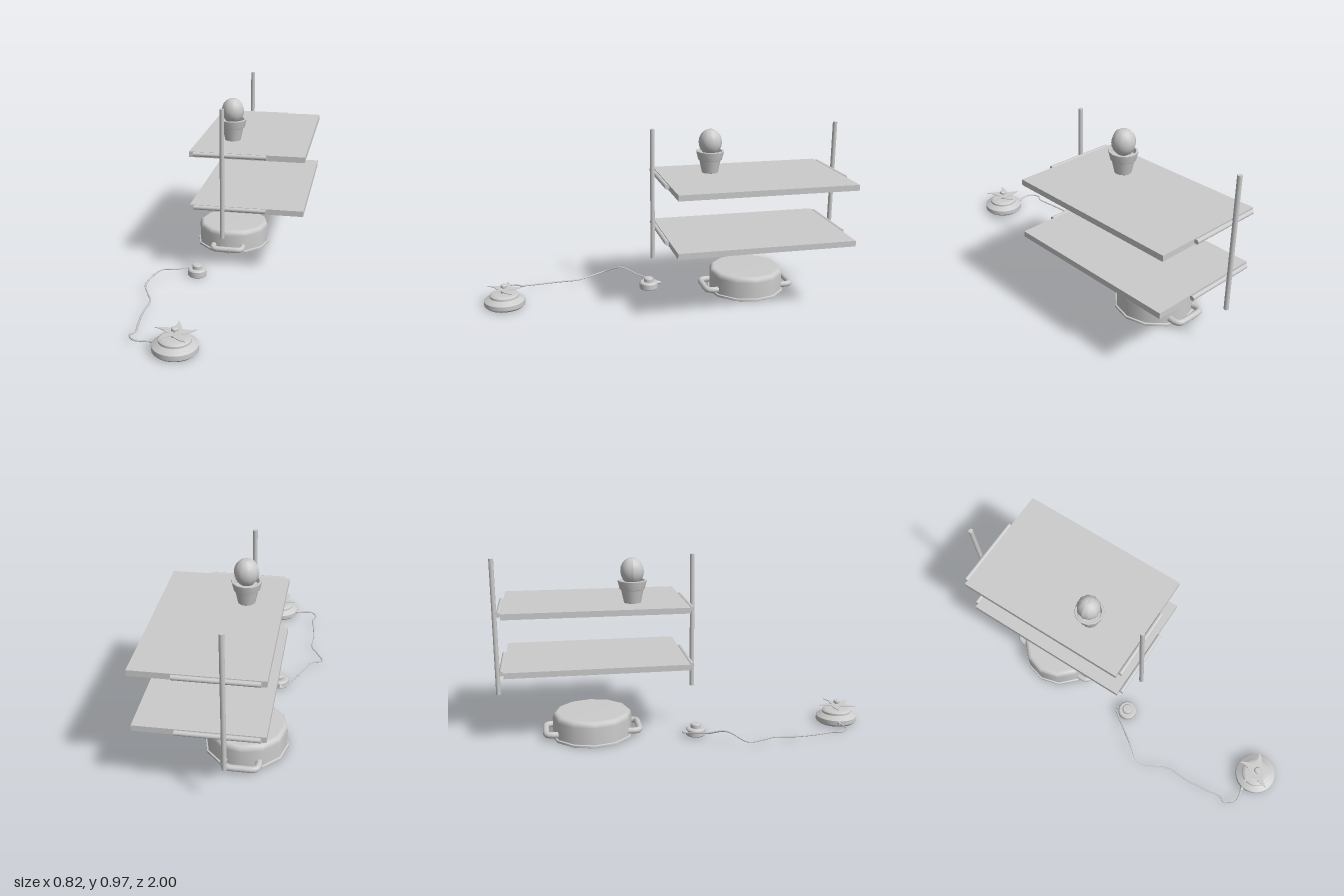
import * as THREE from 'three';

const material = new THREE.MeshStandardMaterial({ color: 0xcccccc });
const thin = new THREE.MeshStandardMaterial({ color: 0xcccccc, side: THREE.DoubleSide });

function add(parent, name, geometry, x = 0, y = 0, z = 0, mat = material) {
  const mesh = new THREE.Mesh(geometry, mat);
  mesh.name = name;
  mesh.position.set(x, y, z);
  parent.add(mesh);
  return mesh;
}

function group(parent, name, x, y, z) {
  const g = new THREE.Group();
  g.name = name;
  g.position.set(x, y, z);
  parent.add(g);
  return g;
}

// Turned shape from [radius, height] pairs, with a hard edge at every sharp corner
function turned(points, sides, crease = 0.6) {
  const pts = points.map(([r, y]) => new THREE.Vector2(r, y));
  const out = [];
  pts.forEach((p, i) => {
    out.push(p);
    if (i === 0 || i === pts.length - 1) return;
    const a = p.clone().sub(pts[i - 1]).angle();
    const b = pts[i + 1].clone().sub(p).angle();
    const turn = Math.abs(Math.atan2(Math.sin(b - a), Math.cos(b - a)));
    // a tiny step keeps the two sides' normals apart
    if (turn > crease) {
      const d1 = pts[i - 1].clone().sub(p).setLength(0.0008);
      const d2 = pts[i + 1].clone().sub(p).setLength(0.0008);
      out.pop();
      out.push(p.clone().add(d1), p.clone().add(d2));
    }
  });
  return new THREE.LatheGeometry(out, sides);
}

function tube(points, radius, steps, sides = 8, tension = 0.5) {
  const curve = new THREE.CatmullRomCurve3(points.map(p => new THREE.Vector3(...p)), false, 'catmullrom', tension);
  return new THREE.TubeGeometry(curve, steps, radius, sides);
}

function buildShelving(root) {
  const shelving = group(root, 'shelving', 0, 0, -0.463);
  for (const y of [0.395, 0.701]) {
    add(shelving, 'shelfBoard', new THREE.BoxGeometry(0.63, 0.031, 0.967), 0.095, y, 0);
    for (const s of [-1, 1]) {
      const rod = add(shelving, 'shelfRod', new THREE.CylinderGeometry(0.0125, 0.0125, 0.4, 12), 0.005, y + 0.005, s * 0.495);
      rod.rotation.z = Math.PI / 2;
    }
  }
  for (const s of [-1, 1]) {
    add(shelving, 'uprightPole', new THREE.CylinderGeometry(0.0125, 0.0125, 0.73, 12), -0.03, 0.604, s * 0.5245);
  }
}

function buildPlant(root) {
  const plant = group(root, 'pottedCactus', -0.03, 0.717, -0.262);
  add(plant, 'flowerPot', turned([
    [0, 0], [0.045, 0], [0.06, 0.068], [0.062, 0.073], [0.067, 0.073],
    [0.078, 0.117], [0.076, 0.121], [0.066, 0.121], [0.06, 0.095], [0, 0.095],
  ], 12, 0.8), 0, 0, 0, thin);
  // Shallow ribs and a dimple at the crown
  const body = new THREE.SphereGeometry(1, 20, 10);
  const p = body.attributes.position;
  for (let i = 0; i < p.count; i++) {
    const x = p.getX(i), y = p.getY(i), z = p.getZ(i);
    const rib = 0.97 + 0.03 * Math.cos(Math.atan2(z, x) * 10);
    const dimple = Math.hypot(x, z) < 0.1 && y > 0 ? 0.9 : 1;
    p.setXYZ(i, x * rib * 0.064, y * dimple * 0.073, z * rib * 0.064);
  }
  body.computeVertexNormals();
  add(plant, 'cactus', body, 0, 0.168, 0);
}

function buildPan(root) {
  const pan = group(root, 'pan', -0.065, 0, -0.495);
  // a quarter turn of the twelve sides puts corners on both axes
  add(pan, 'panBody', turned([
    [0, 0], [0.222, 0], [0.222, 0.012], [0.213, 0.014], [0.213, 0.106],
    [0.209, 0.122], [0.2, 0.132], [0.186, 0.136], [0, 0.136],
  ], 12));
  for (const s of [-1, 1]) {
    add(pan, 'panHandle', tube([
      [-0.088, 0.037, s * 0.18], [-0.088, 0.037, s * 0.222], [-0.07, 0.037, s * 0.248],
      [0, 0.037, s * 0.251],
      [0.07, 0.037, s * 0.248], [0.088, 0.037, s * 0.222], [0.088, 0.037, s * 0.18],
    ], 0.017, 28, 10));
  }
}

// Flat swept blade, pointing along +x
function bladeGeometry() {
  const s = new THREE.Shape();
  s.moveTo(0.008, -0.026);
  s.quadraticCurveTo(0.06, -0.03, 0.108, 0.008);
  s.quadraticCurveTo(0.06, 0.002, 0.03, 0.026);
  s.lineTo(0.008, 0.02);
  s.closePath();
  const g = new THREE.ExtrudeGeometry(s, { depth: 0.003, bevelEnabled: false, curveSegments: 5 });
  return g.rotateX(-Math.PI / 2);
}

function buildRotor(root) {
  const rotor = group(root, 'bladedRotor', -0.093, 0, 0.887);
  add(rotor, 'rotorBase', turned([
    [0, 0], [0.1, 0], [0.113, 0.012], [0.113, 0.037], [0.104, 0.043], [0.08, 0.056],
    [0.08, 0.067], [0.073, 0.071], [0.06, 0.078], [0, 0.078],
  ], 24));
  add(rotor, 'rotorHub', turned([
    [0, 0.075], [0.019, 0.075], [0.019, 0.09], [0.009, 0.091], [0.009, 0.109],
    [0.018, 0.11], [0.018, 0.121], [0.013, 0.126], [0, 0.126],
  ], 12));
  add(rotor, 'bladeCollar', new THREE.CylinderGeometry(0.032, 0.032, 0.004, 15), 0, 0.1, 0);
  const blade = bladeGeometry();
  for (let i = 0; i < 5; i++) {
    const arm = add(rotor, 'blade', blade, 0, 0.0985, 0, thin);
    arm.rotation.set(0.04, Math.PI / 2 + i * Math.PI * 2 / 5, 0, 'YXZ');
  }
  const relief = add(rotor, 'rotorCableSleeve', new THREE.CylinderGeometry(0.007, 0.011, 0.03, 10), -0.115, 0.026, -0.022);
  relief.rotation.z = Math.PI / 2;
}

function buildSwitch(root) {
  const unit = group(root, 'footSwitch', -0.175, 0, 0.057);
  add(unit, 'switchBody', turned([
    [0, 0], [0.048, 0], [0.053, 0.005], [0.053, 0.036], [0.046, 0.043], [0, 0.043],
  ], 20));
  add(unit, 'switchButton', turned([
    [0, 0.04], [0.028, 0.04], [0.028, 0.062], [0.023, 0.067], [0, 0.067],
  ], 16));
  const sleeve = add(unit, 'switchCableSleeve', new THREE.CylinderGeometry(0.006, 0.013, 0.035, 10), -0.012, 0.024, -0.058);
  sleeve.rotation.x = -Math.PI / 2;
}

export function createModel() {
  const root = new THREE.Group();
  root.name = 'shelfAndAppliances';
  buildShelving(root);
  buildPlant(root);
  buildPan(root);
  buildRotor(root);
  buildSwitch(root);

  // Loose cable from the switch to the rotor base
  add(root, 'cable', tube([
    [-0.187, 0.024, 0.0], [-0.19, 0.024, -0.016], [-0.215, 0.027, 0.005], [-0.285, 0.046, 0.1],
    [-0.35, 0.075, 0.19], [-0.408, 0.035, 0.285], [-0.375, 0.025, 0.375], [-0.338, 0.022, 0.455],
    [-0.34, 0.018, 0.58], [-0.33, 0.018, 0.69], [-0.318, 0.021, 0.78], [-0.335, 0.025, 0.825],
    [-0.295, 0.028, 0.873], [-0.205, 0.026, 0.865],
  ], 0.0045, 110, 6));
  return root;
}
